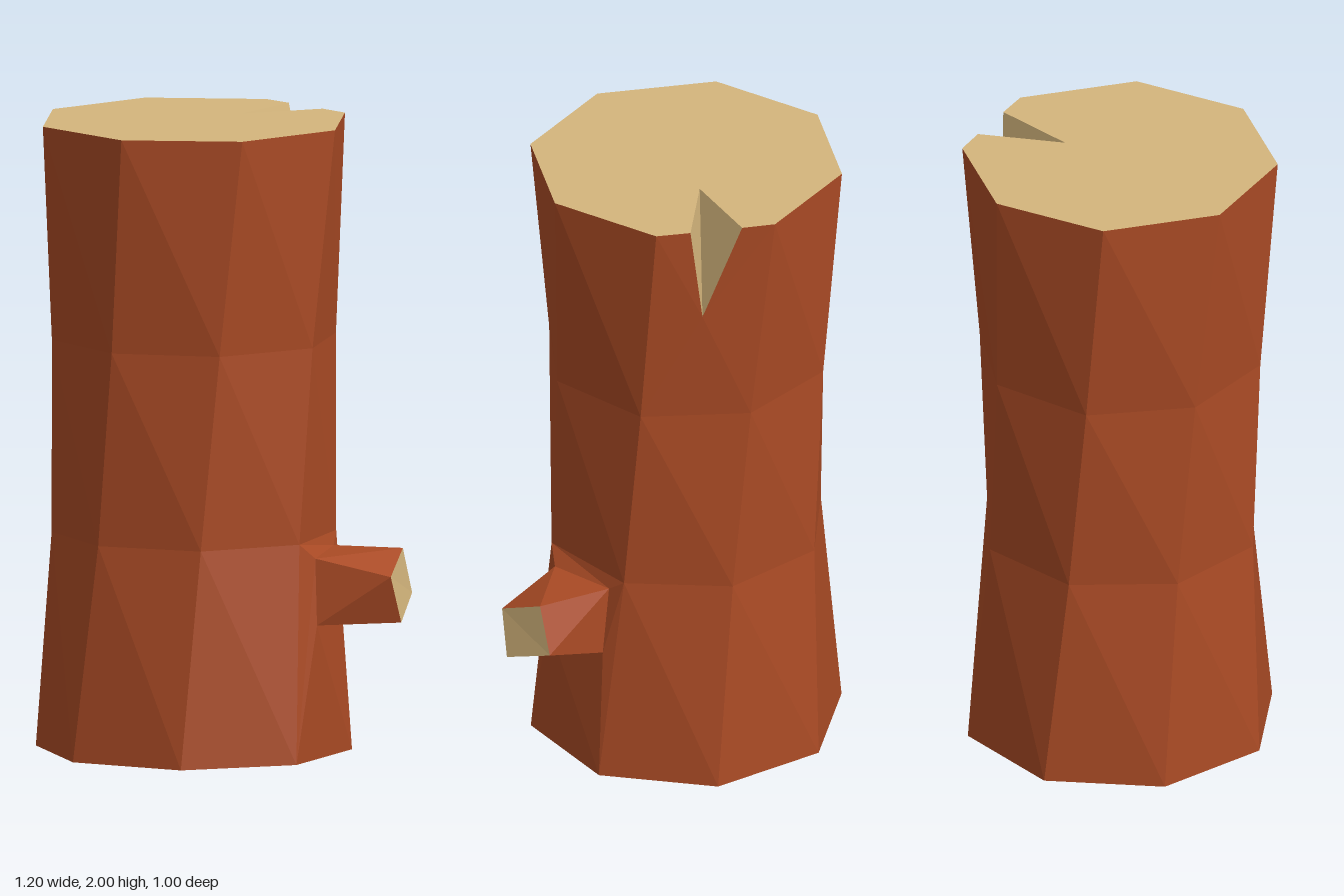
import * as THREE from 'three';

const bark = new THREE.MeshStandardMaterial({ color: 0xab4b25, flatShading: true, name: 'bark' });
const wood = new THREE.MeshStandardMaterial({ color: 0xd4b57c, flatShading: true, name: 'cutWood' });

const SIDES = 8;
const CENTRE_X = -0.1;

// Quad seen counter-clockwise, split along the b-d diagonal
const quad = (a, b, c, d) => [a, b, d, b, c, d];

function meshFrom(name, points, material) {
  const geometry = new THREE.BufferGeometry();
  geometry.setAttribute('position', new THREE.Float32BufferAttribute(points.flat(), 3));
  geometry.computeVertexNormals();
  const mesh = new THREE.Mesh(geometry, material);
  mesh.name = name;
  return mesh;
}

// Octagonal cross-section, twisted by some degrees
function ring(y, radius, twist) {
  return Array.from({ length: SIDES }, (_, i) => {
    const a = THREE.MathUtils.degToRad(i * 45 + twist);
    return [CENTRE_X + radius * Math.sin(a), y, radius * Math.cos(a)];
  });
}

// Triangles from a centre to a closed outline
function fan(centre, outline) {
  return outline.flatMap((p, i) => [centre, p, outline[(i + 1) % outline.length]]);
}

export function createModel() {
  const group = new THREE.Group();
  group.name = 'log';

  // Waisted, twisting trunk
  const rings = [ring(0, 0.5, 0), ring(0.69, 0.449, 7.5), ring(1.31, 0.455, 15), ring(2, 0.5, 22.5)];

  // Split in the top edge
  const splitLeft = [0.285, 2, -0.27];
  const splitRight = [0.168, 2, -0.388];
  const splitInner = [0.035, 2, -0.14];
  const splitBottom = [0.242, 1.68, -0.287];

  // Branch stub: root on the trunk and turned cut end
  const root = [[0.31, 0.43, 0.25], [0.37, 0.43, 0.005], [0.342, 0.65, 0], [0.303, 0.64, 0.23]];
  const end = [[0.575, 0.44, 0.232], [0.595, 0.51, 0.057], [0.57, 0.66, 0.11], [0.545, 0.59, 0.27]];

  // Bark panels
  const panels = [];
  for (let r = 0; r < 3; r++) {
    for (let i = 0; i < SIDES; i++) {
      const j = (i + 1) % SIDES;
      const l0 = rings[r][i], l1 = rings[r][j], u0 = rings[r + 1][i], u1 = rings[r + 1][j];
      if (r === 0 && i === 1) {
        // Panel opened around the branch root
        const outer = [l0, l1, u1, u0];
        for (let k = 0; k < 4; k++) {
          const n = (k + 1) % 4;
          panels.push(...quad(outer[k], outer[n], root[n], root[k]));
        }
      } else if (r === 2 && i === 2) {
        // Panel notched by the split
        panels.push(
          l0, l1, splitBottom,
          l0, splitBottom, u0,
          u0, splitBottom, splitLeft,
          l1, u1, splitBottom,
          u1, splitRight, splitBottom,
        );
      } else {
        panels.push(...quad(l0, l1, u1, u0));
      }
    }
  }
  group.add(meshFrom('trunkBark', panels, bark));

  // Cut faces
  const top = [...rings[3]];
  top.splice(3, 0, splitLeft, splitInner, splitRight);
  group.add(meshFrom('topCut', fan([CENTRE_X, 2, 0], top), wood));
  group.add(meshFrom('bottomCut', fan([CENTRE_X, 0, 0], [...rings[0]].reverse()), wood));
  group.add(meshFrom('splitWalls', [
    splitLeft, splitBottom, splitInner,
    splitRight, splitInner, splitBottom,
  ], wood));

  // Branch stub
  const stub = [];
  for (let k = 0; k < 4; k++) {
    const n = (k + 1) % 4;
    stub.push(...quad(root[k], root[n], end[n], end[k]));
  }
  group.add(meshFrom('branchBark', stub, bark));
  group.add(meshFrom('branchCut', quad(...end), wood));

  return group;
}
